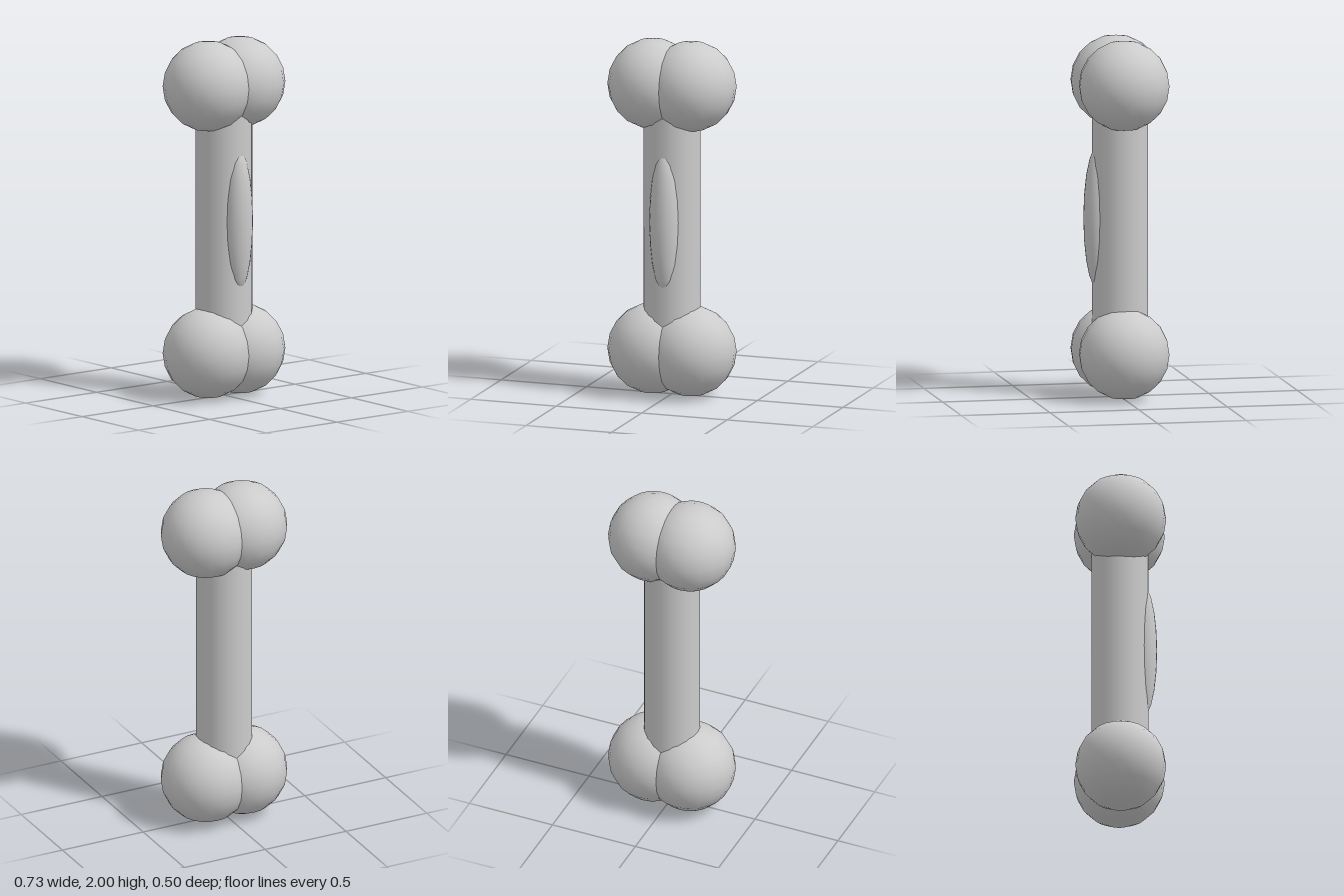
import * as THREE from 'three';

export function createModel() {
  const model = new THREE.Group();
  model.name = 'bone';
  const material = new THREE.MeshStandardMaterial({ color: 0xcccccc });

  const add = (name, geometry, x, y, z) => {
    const mesh = new THREE.Mesh(geometry, material);
    mesh.name = name;
    mesh.position.set(x, y, z);
    model.add(mesh);
    return mesh;
  };

  // Straight shaft, its ends buried in the knobs
  add('shaft', new THREE.CylinderGeometry(0.156, 0.156, 1.5, 20), 0, 1, 0);

  // A pair of overlapping round knobs at each end
  const knob = new THREE.SphereGeometry(0.251, 20, 10);
  for (const [end, y] of [['lower', 0.251], ['upper', 1.749]]) {
    for (const [side, x] of [['Left', 0.112], ['Right', -0.112]]) {
      add(`${end}${side}Knob`, knob, x, y, 0);
    }
  }

  // Long raised ridge on the front of the shaft
  const ridge = new THREE.SphereGeometry(1, 20, 10).scale(0.084, 0.4, 0.08);
  add('frontRidge', ridge, 0, 1, 0.125);

  return model;
}
